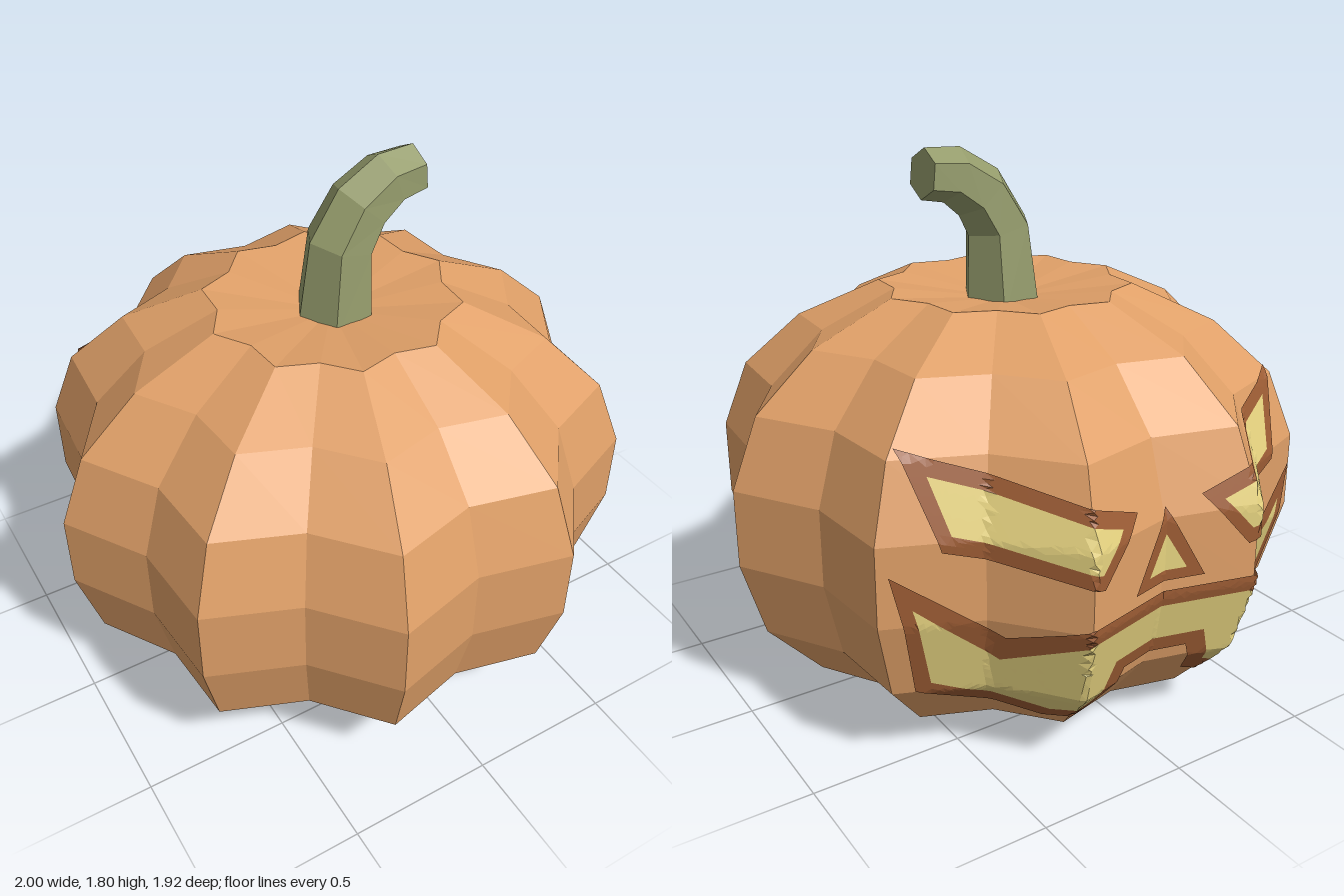
import * as THREE from 'three';

// Ridge profile of the shell, bottom to top: [radius, height]
const PROFILE = [
  [0, 0.02], [0.38, 0], [0.74, 0.08], [0.925, 0.28], [1, 0.54],
  [1, 0.8], [0.91, 1.03], [0.71, 1.21], [0.43, 1.335], [0, 1.28],
];
const VALLEY = 0.875; // valley radius relative to the ridges
const STEP = Math.PI / 10;

const material = (color) =>
  new THREE.MeshStandardMaterial({ color, flatShading: true });

function addMesh(parent, name, geometry, mat) {
  const mesh = new THREE.Mesh(geometry, mat);
  mesh.name = name;
  parent.add(mesh);
}

// Ten-lobed shell: a 20-sided lathe with every other column pulled in
function shellGeometry() {
  const geo = new THREE.LatheGeometry(PROFILE.map(([r, y]) => new THREE.Vector2(r, y)), 20);
  const pos = geo.attributes.position;
  for (let i = 0; i < pos.count; i++) {
    const column = Math.floor(i / PROFILE.length);
    const k = column % 2 === 0 ? VALLEY : 1;
    pos.setXYZ(i, pos.getX(i) * k, pos.getY(i), pos.getZ(i) * k);
  }
  const flat = geo.toNonIndexed();
  flat.computeVertexNormals();
  return flat;
}

// Six-sided stem: cylinder rings moved along a bent, tapering path
function stemGeometry() {
  const rings = [ // tip to base: x, y, radius
    [0.305, 1.72, 0.082], [0.2, 1.71, 0.092], [0.1, 1.645, 0.102],
    [0.03, 1.53, 0.112], [0.01, 1.25, 0.135],
  ];
  const last = rings.length - 1;
  const geo = new THREE.CylinderGeometry(1, 1, 1, 6, last, false, Math.PI / 6);
  const pos = geo.attributes.position;
  for (let i = 0; i < pos.count; i++) {
    const k = Math.round((0.5 - pos.getY(i)) * last);
    const [cx, cy, r] = rings[k];
    const ahead = rings[Math.max(k - 1, 0)];
    const behind = rings[Math.min(k + 1, last)];
    const t = new THREE.Vector2(ahead[0] - behind[0], ahead[1] - behind[1]).normalize();
    const side = pos.getX(i) * r;
    pos.setXYZ(i, cx + t.y * side, cy - t.x * side, pos.getZ(i) * r * 1.08);
  }
  const flat = geo.toNonIndexed();
  flat.computeVertexNormals();
  return flat;
}

// Place a face point (x, y) on the back of the shell, lifted slightly outward
function onShell(x, y, lift) {
  let j = 1;
  while (j < PROFILE.length - 3 && PROFILE[j + 1][1] < y) j++;
  const [r0, y0] = PROFILE[j], [r1, y1] = PROFILE[j + 1];
  const r = r0 + (r1 - r0) * (y - y0) / (y1 - y0);
  const column = (i) => {
    const k = r * (i % 2 === 0 ? VALLEY : 1);
    return [k * Math.sin(i * STEP), k * Math.cos(i * STEP)];
  };
  const ax = Math.abs(x);
  let i = 0;
  while (i < 3 && column(i + 1)[0] < ax) i++;
  const [xa, za] = column(i), [xb, zb] = column(i + 1);
  const z = za + (zb - za) * (ax - xa) / (xb - xa);
  return [x * lift, y, -z * lift];
}

// Flat outline (with optional hole), cut finely and wrapped onto the shell
function wrappedGeometry(outline, hole, lift) {
  const toPoints = (list) => list.map(([x, y]) => new THREE.Vector2(x, y));
  const shape = new THREE.Shape(toPoints(outline));
  if (hole) shape.holes.push(new THREE.Path(toPoints(hole)));
  const flat = new THREE.ShapeGeometry(shape).toNonIndexed().attributes.position;
  const out = [];
  const dist = (p, q) => Math.hypot(p[0] - q[0], p[1] - q[1]);
  // halve the longest edge until the triangle is small
  const split = (a, b, c) => {
    const ab = dist(a, b), bc = dist(b, c), ca = dist(c, a);
    const longest = Math.max(ab, bc, ca);
    if (longest < 0.035) {
      // reversed, as the face looks toward -z
      for (const p of [a, c, b]) out.push(...onShell(p[0], p[1], lift));
      return;
    }
    let [p, q, r] = [a, b, c];
    if (ab < longest) [p, q, r] = bc === longest ? [b, c, a] : [c, a, b];
    const m = [(p[0] + q[0]) / 2, (p[1] + q[1]) / 2];
    split(p, m, r);
    split(m, q, r);
  };
  for (let i = 0; i < flat.count; i += 3) {
    split(...[0, 1, 2].map((k) => [flat.getX(i + k), flat.getY(i + k)]));
  }
  const geo = new THREE.BufferGeometry();
  geo.setAttribute('position', new THREE.Float32BufferAttribute(out, 3));
  geo.computeVertexNormals();
  return geo;
}

const mirror = (list) => list.map(([x, y]) => [-x, y]).reverse();
// Close a half outline that runs from top centre round to the lower middle
const symmetric = (half) => [...half, ...mirror(half.filter(([x]) => x !== 0))];

export function createModel() {
  const group = new THREE.Group();
  const skin = material(0xe0a068);
  const green = material(0x959c6c);
  const cut = material(0x9c5c34);
  const glow = material(0xe6d380);
  cut.side = glow.side = THREE.DoubleSide;

  addMesh(group, 'shell', shellGeometry(), skin);
  addMesh(group, 'stem', stemGeometry(), green);

  // Carved face on the back: a dark rim around a bright opening
  const face = new THREE.Group();
  face.name = 'carvedFace';
  group.add(face);
  const carve = (name, rim, opening) => {
    addMesh(face, name + 'Rim', wrappedGeometry(rim, opening, 1.014), cut);
    addMesh(face, name + 'Opening', wrappedGeometry(opening, null, 1.014), glow);
  };

  const eyeRim = [[0.7, 1.06], [0.12, 0.86], [0.27, 0.68], [0.63, 0.775]];
  const eyeOpening = [[0.635, 0.985], [0.19, 0.835], [0.28, 0.73], [0.6, 0.82]];
  carve('leftEye', eyeRim, eyeOpening);
  carve('rightEye', mirror(eyeRim), mirror(eyeOpening));

  carve('nose',
    [[0, 0.84], [0.13, 0.6], [-0.13, 0.6]],
    [[0, 0.755], [0.07, 0.635], [-0.07, 0.635]]);

  carve('mouth',
    symmetric([[0, 0.565], [0.3, 0.565], [0.47, 0.49], [0.77, 0.71],
      [0.68, 0.29], [0.3, 0.13], [0.17, 0.19], [0.12, 0.33]]),
    symmetric([[0, 0.51], [0.29, 0.51], [0.47, 0.4], [0.71, 0.6],
      [0.64, 0.32], [0.31, 0.185], [0.22, 0.23], [0.17, 0.38]]));

  return group;
}
